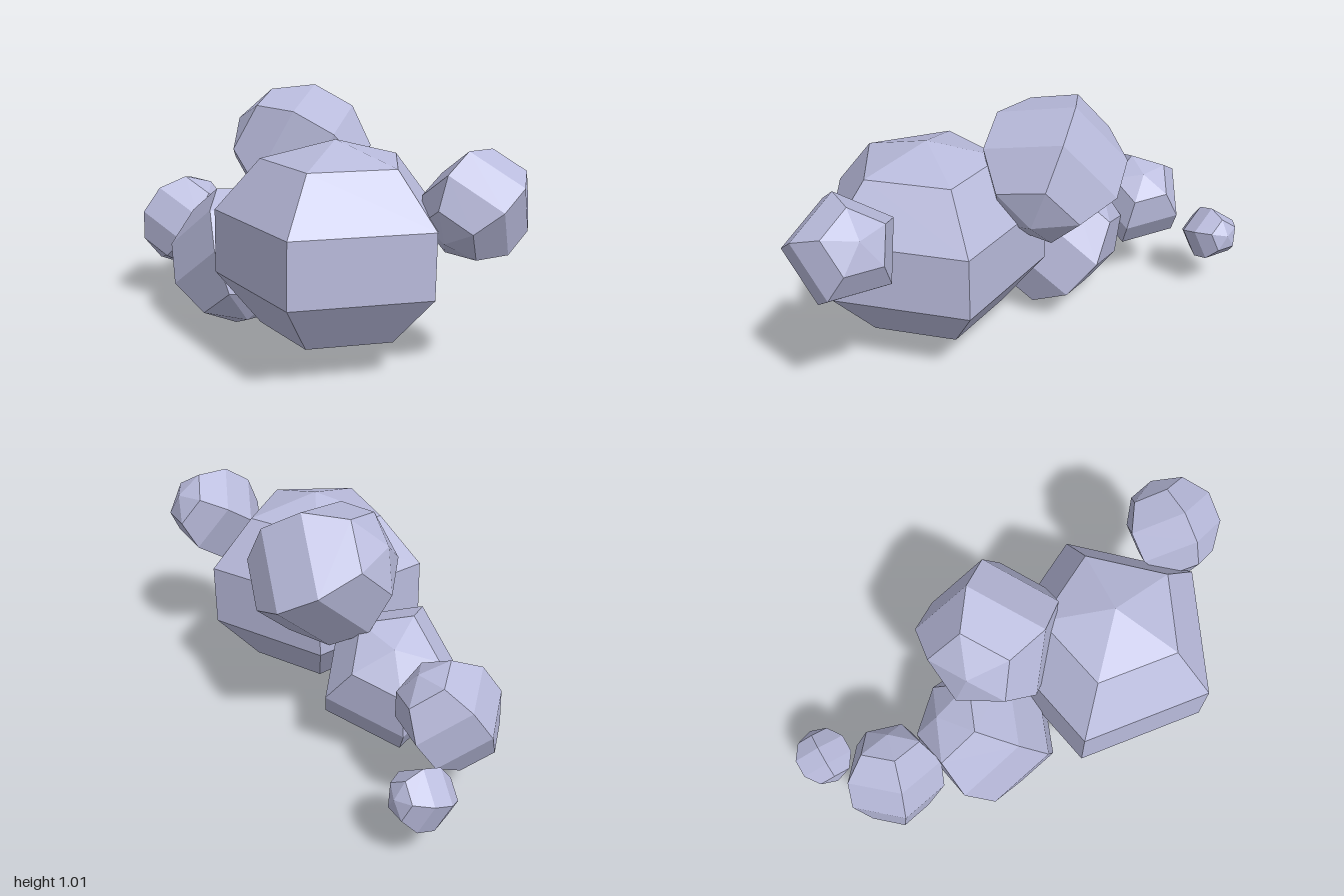
import * as THREE from 'three';

const lavender = new THREE.MeshStandardMaterial({ color: 0xb9bbdc });
lavender.name = 'lavenderGrey';

// Five-sided faceted ball: axis points to a pole, face is the normal of one middle-band face
function puff({ name, radius, center, axis, face, squash = 1 }) {
  const geometry = new THREE.SphereGeometry(radius, 5, 5).toNonIndexed();
  geometry.scale(1, squash, 1);
  geometry.computeVertexNormals(); // unshared corners give flat facets

  const y = new THREE.Vector3(...axis).normalize();
  const z = new THREE.Vector3(...face).cross(y).normalize();
  const x = new THREE.Vector3().crossVectors(y, z);

  const mesh = new THREE.Mesh(geometry, lavender);
  mesh.name = name;
  mesh.quaternion.setFromRotationMatrix(new THREE.Matrix4().makeBasis(x, y, z));
  mesh.position.set(...center);
  return mesh;
}

const PUFFS = [
  // main body, upright and a little flattened
  { name: 'largePuff', radius: 0.478, squash: 0.837, center: [0.35, 0.459, 0.029], axis: [0, 1, 0], face: [-0.454, 0, -0.891] },
  // upper and lower middle puffs
  { name: 'upperPuff', radius: 0.295, center: [-0.08, 0.728, -0.172], axis: [0.67, -0.474, -0.572], face: [0.552, 0.82, -0.136] },
  { name: 'lowerPuff', radius: 0.3, center: [-0.24, 0.285, 0.035], axis: [0.575, -0.761, 0.303], face: [-0.811, -0.477, 0.34] },
  // outlying puffs
  { name: 'leftEndPuff', radius: 0.206, center: [0.809, 0.655, -0.235], axis: [0, 0.56, -0.83], face: [0.955, -0.246, -0.166] },
  { name: 'rightPuff', radius: 0.21, center: [-0.668, 0.355, 0.02], axis: [0.25, 0.8, -0.5], face: [0.45, 0.35, 0.82] },
  { name: 'rightEndPuff', radius: 0.121, center: [-0.884, 0.237, -0.24], axis: [0, -0.3, 0.95], face: [0, -0.95, -0.3] },
];

export function createModel() {
  const cloud = new THREE.Group();
  cloud.name = 'cloud';
  for (const spec of PUFFS) cloud.add(puff(spec));
  return cloud;
}
